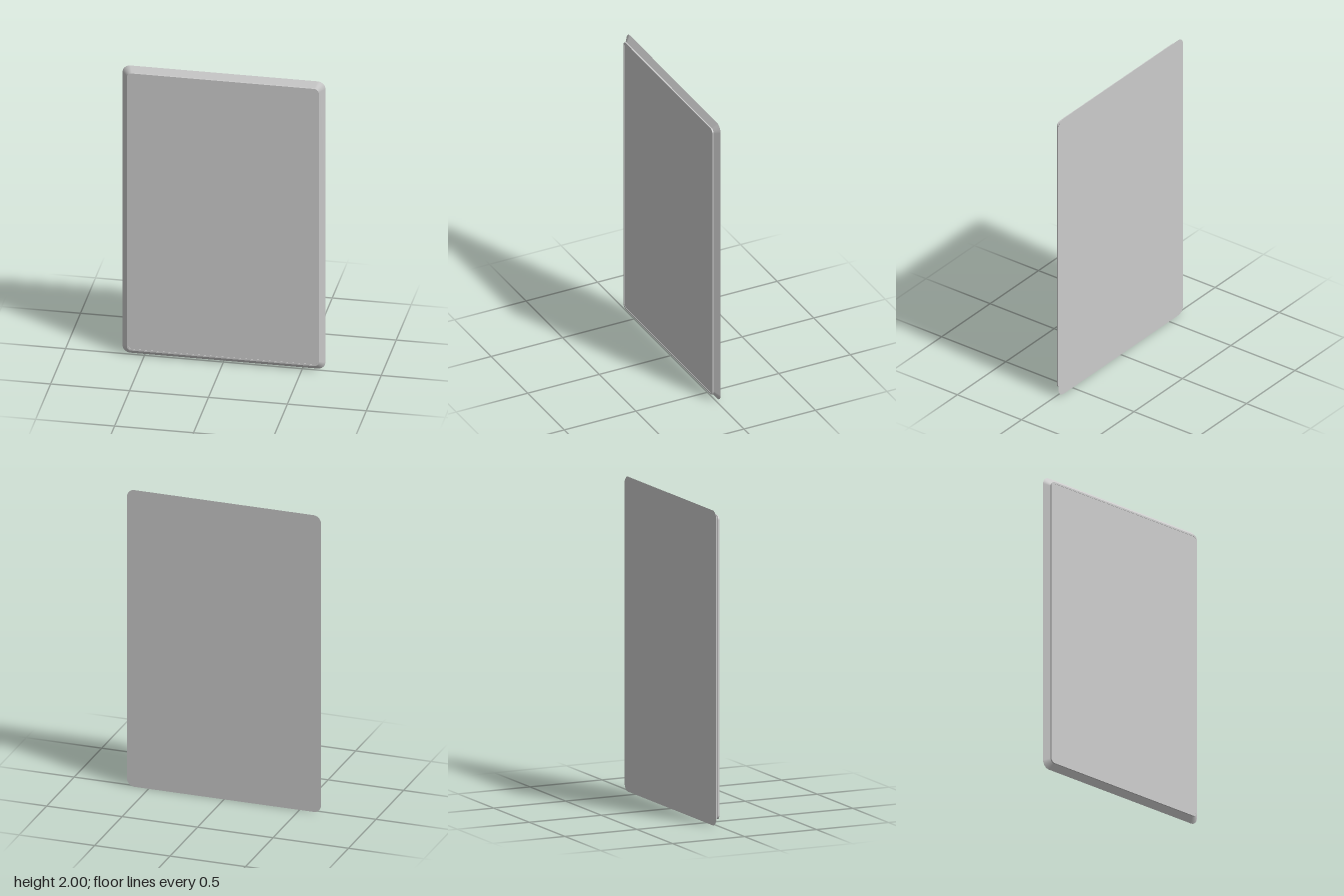
import * as THREE from 'three';

const W = 0.643, H = 1, SEG = 8;

// Points round a rounded rectangle, anticlockwise from the front
function outline(inset, radius) {
  const pts = [];
  const cx = W - inset - radius, cy = H - inset - radius;
  [[1, 1], [-1, 1], [-1, -1], [1, -1]].forEach(([sx, sy], q) => {
    for (let i = 0; i <= SEG; i++) {
      const a = (q + i / SEG) * Math.PI / 2;
      pts.push(new THREE.Vector2(sx * cx + radius * Math.cos(a), 1 + sy * cy + radius * Math.sin(a)));
    }
  });
  return pts;
}

// Wall joining two outlines, each given as [inset, radius, z], from back to front
function band(a, b) {
  const pos = [], idx = [];
  const n = 4 * (SEG + 1);
  for (const [inset, radius, z] of [a, b]) {
    for (const p of outline(inset, radius)) pos.push(p.x, p.y, z);
  }
  for (let i = 0; i < n; i++) {
    const j = (i + 1) % n;
    idx.push(i, j, n + j, i, n + j, n + i);
  }
  const g = new THREE.BufferGeometry();
  g.setAttribute('position', new THREE.Float32BufferAttribute(pos, 3));
  g.setIndex(idx);
  g.computeVertexNormals();
  return g;
}

// Flat face filling an outline, optionally with a hole
function face([inset, radius, z], hole) {
  const shape = new THREE.Shape(outline(inset, radius));
  if (hole) shape.holes.push(new THREE.Path(outline(hole[0], hole[1])));
  return new THREE.ShapeGeometry(shape).translate(0, 0, z);
}

export function createModel() {
  const model = new THREE.Group();
  const material = new THREE.MeshStandardMaterial({ color: 0xcccccc, side: THREE.DoubleSide });
  const add = (name, geometry) => {
    const mesh = new THREE.Mesh(geometry, material);
    mesh.name = name;
    model.add(mesh);
    return mesh;
  };

  const back = [0, 0.05, -0.02];
  const neck = [0.041, 0.025, 0.011];
  const slabBack = [0.035, 0.028, 0.011];
  const slabFront = [0.035, 0.028, 0.02];
  const rimInner = [0.046, 0.02, 0.02];
  const panel = [0.046, 0.02, 0.018];

  // Back plate, seen from behind
  const backPlate = add('backPlate', face(back));
  backPlate.geometry.rotateY(Math.PI).translate(0, 0, -0.04);

  // Bevelled surround narrowing towards the front
  add('bevel', band(back, neck));

  // Front slab overhanging the bevel slightly, with a thin rim
  add('slabUnderside', band(neck, slabBack));
  add('slabEdge', band(slabBack, slabFront));
  add('rim', face(slabFront, rimInner));
  add('rimInnerEdge', band(rimInner, panel));
  add('frontPanel', face(panel));

  return model;
}
